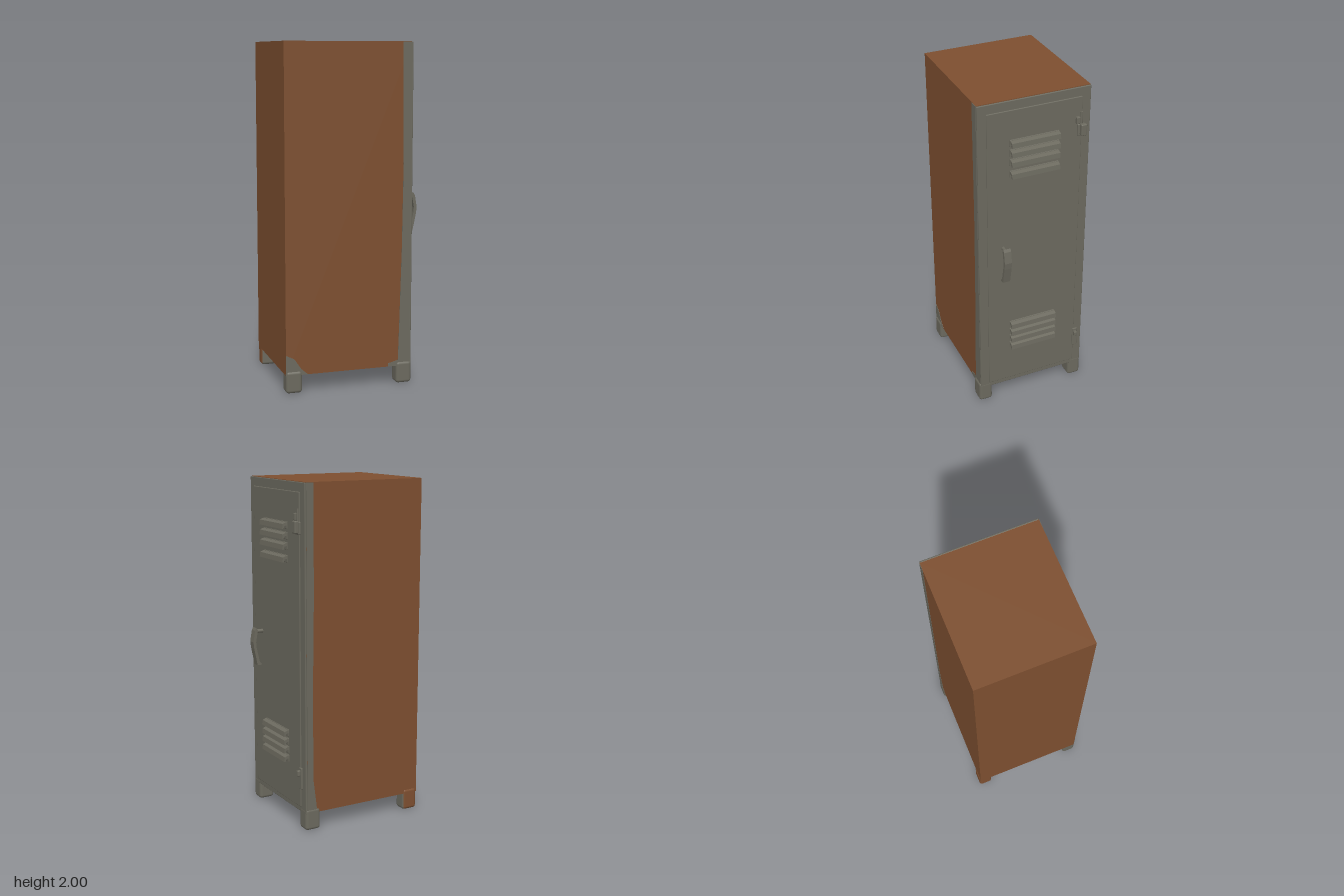
import * as THREE from 'three';
import { RoundedBoxGeometry } from 'three/addons/geometries/RoundedBoxGeometry.js';

const brown = new THREE.MeshStandardMaterial({ color: 0x7d4f30 });
brown.name = 'rust brown';
const grey = new THREE.MeshStandardMaterial({ color: 0x6b695e });
grey.name = 'steel grey';

export function createModel() {
  const model = new THREE.Group();
  model.name = 'locker';

  const add = (name, geometry, material, x = 0, y = 0, z = 0) => {
    const mesh = new THREE.Mesh(geometry, material);
    mesh.name = name;
    mesh.position.set(x, y, z);
    model.add(mesh);
    return mesh;
  };
  // Box given by its two extreme corners
  const box = (name, material, [x0, y0, z0], [x1, y1, z1], radius = 0) => {
    const size = [x1 - x0, y1 - y0, z1 - z0];
    const geometry = radius
      ? new RoundedBoxGeometry(...size, 3, radius)
      : new THREE.BoxGeometry(...size);
    return add(name, geometry, material, (x0 + x1) / 2, (y0 + y1) / 2, (z0 + z1) / 2);
  };
  const extrude = (points, depth) => new THREE.ExtrudeGeometry(
    new THREE.Shape(points.map(([x, y]) => new THREE.Vector2(x, y))),
    { depth, bevelEnabled: false });

  // Cabinet with a bare underside
  box('cabinet', [brown, brown, brown, grey, brown, brown],
    [-0.42, 0.105, -0.338], [0.333, 2, 0.332]);
  const underside = extrude([[0.28, -0.337], [-0.41, -0.337], [-0.41, 0], [-0.305, 0.23],
    [-0.15, 0.29], [0.11, 0.23], [0.22, 0.07], [0.3, -0.15]], 0.002);
  underside.rotateX(Math.PI / 2);
  add('undersidePatch', underside, brown, 0, 0.105, 0);

  // Bare steel bands beside the door and at one lower corner
  add('frontBand', extrude([[0.334, 0.105], [0.334, 1.998], [0.28, 1.998], [0.288, 1.3],
    [0.281, 0.8], [0.27, 0.4], [0.262, 0.14], [0.2, 0.125], [0.2, 0.105]], 0.003), grey, 0, 0, 0.331);
  add('backBand', extrude([[0.334, 0.105], [0.334, 1.998], [0.288, 1.998], [0.29, 1.3],
    [0.297, 0.8], [0.295, 0.3], [0.27, 0.105]], 0.003), grey, 0, 0, -0.34);
  add('cornerPatch', extrude([[-0.42, 0.105], [-0.29, 0.105], [-0.33, 0.14],
    [-0.37, 0.2], [-0.42, 0.225]], 0.003), grey, 0, 0, 0.331);

  // Door frame and raised door panel
  box('doorFrame', grey, [0.333, 0.1, -0.338], [0.344, 1.998, 0.332], 0.004);
  box('doorPanel', grey, [0.34, 0.13, -0.285], [0.35, 1.945, 0.28], 0.004);

  // Feet with rounded bottoms; one is painted on its outer sides
  for (const x of [-0.42, 0.25]) {
    for (const z of [-0.343, 0.258]) {
      const painted = x < 0 && z < 0;
      const material = painted ? [grey, brown, grey, grey, grey, brown] : grey;
      box('foot', material, [x, 0, z], [x + 0.095, 0.13, z + 0.083], 0.018);
    }
  }

  // Two banks of downward louvers
  const louver = extrude([[0.345, 0.02], [0.36, 0.018], [0.378, 0.01], [0.382, -0.018],
    [0.374, -0.018], [0.368, -0.002], [0.345, 0.004]], 0.29);
  for (const y of [1.75, 1.692, 1.634, 1.562, 0.54, 0.488, 0.438, 0.386]) {
    add('louver', louver, grey, 0, y, -0.145);
    box('louverRim', grey, [0.346, y - 0.02, -0.147], [0.354, y + 0.022, 0.147], 0.003);
  }

  // Bent pull handle on a short stem
  const handle = extrude([[0.388, 1.095], [0.401, 1.116], [0.41, 1.1], [0.422, 1.03],
    [0.417, 0.99], [0.396, 0.888], [0.37, 0.885], [0.369, 0.895], [0.382, 0.91],
    [0.402, 1.0], [0.404, 1.03], [0.394, 1.085]], 0.044);
  add('handle', handle, grey, 0, 0, 0.164);
  const stem = new THREE.CylinderGeometry(0.011, 0.011, 0.055, 16);
  stem.rotateZ(Math.PI / 2);
  add('handleStem', stem, grey, 0.372, 1.092, 0.186);

  // Upper latch with a pin, lower hinge
  box('upperLatch', grey, [0.345, 1.712, -0.302], [0.362, 1.785, -0.256], 0.006);
  box('latchBlock', grey, [0.36, 1.72, -0.302], [0.386, 1.79, -0.266], 0.007);
  box('latchTab', grey, [0.345, 1.79, -0.268], [0.368, 1.83, -0.246], 0.004);
  add('latchPin', new THREE.CylinderGeometry(0.007, 0.007, 0.08, 12), grey, 0.354, 1.815, -0.28);
  box('lowerHinge', grey, [0.345, 0.245, -0.308], [0.357, 0.372, -0.276], 0.004);
  box('hingeKnuckle', grey, [0.35, 0.325, -0.3], [0.376, 0.358, -0.28], 0.005);

  return model;
}
